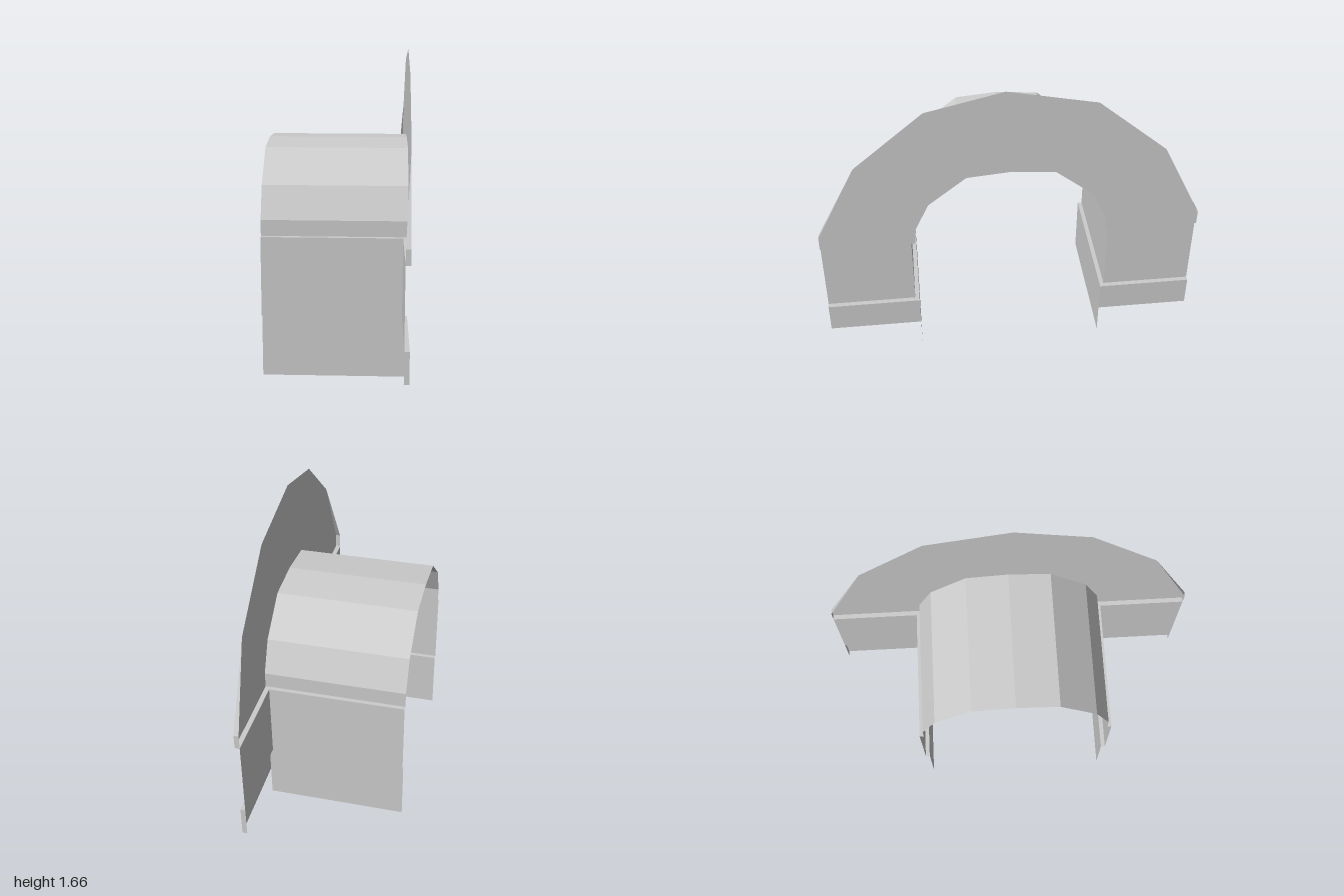
import * as THREE from 'three';

const BACK = -0.373, FACE = 0.373, INSET = 0.347; // x of tunnel end, facade, recessed wall
const FOOT = 0.17, LEDGE = 0.335, SPRING = 0.752;  // y of facade foot, base top, arch start
const IN = 0.503, WALL = 0.526;                   // z of arch opening, recessed tunnel wall

// Arch curves as [z, y]
const inner = [[IN, SPRING], [IN, 0.835], [0.427, 1], [0.228, 1.16], [0, 1.18],
  [-0.228, 1.16], [-0.427, 1], [-IN, 0.835], [-IN, SPRING]];
const outer = [[-1, SPRING], [-1, 0.83], [-0.785, 1.26], [-0.427, 1.564], [0.028, 1.658],
  [0.427, 1.564], [0.785, 1.26], [1, 0.83], [1, SPRING]];

const stone = new THREE.MeshStandardMaterial({ color: 0xcccccc, side: THREE.DoubleSide, flatShading: true });
stone.name = 'pale grey stone';

// Sheet stretched between two rows of [x, y, z] points
function sheet(name, a, b) {
  const pos = [];
  for (let i = 0; i < a.length - 1; i++) {
    pos.push(...a[i], ...a[i + 1], ...b[i + 1], ...a[i], ...b[i + 1], ...b[i]);
  }
  const g = new THREE.BufferGeometry();
  g.setAttribute('position', new THREE.Float32BufferAttribute(pos, 3));
  g.computeVertexNormals();
  return mesh(name, g);
}

function mesh(name, geometry) {
  const m = new THREE.Mesh(geometry, stone);
  m.name = name;
  return m;
}

export function createModel() {
  const model = new THREE.Group();
  model.name = 'archedTunnel';

  // Vault running back from the facade
  model.add(sheet('vault',
    inner.map(([z, y]) => [FACE, y, z]),
    inner.map(([z, y]) => [BACK, y, z])));

  // Flat arch face
  const shape = new THREE.Shape([...inner, ...outer].map(([z, y]) => new THREE.Vector2(-z, y)));
  model.add(mesh('archFace', new THREE.ShapeGeometry(shape).rotateY(Math.PI / 2).translate(FACE, 0, 0)));

  for (const s of [1, -1]) {
    const side = new THREE.Group();
    side.name = s > 0 ? 'frontSide' : 'backSide';

    // Tunnel wall: base, ledge, recessed wall, overhang under the vault
    const wall = [[0, IN], [LEDGE, IN], [LEDGE, WALL], [SPRING, WALL], [SPRING, IN]];
    const ends = [FACE, FACE, INSET, INSET, FACE];
    side.add(sheet('tunnelWall',
      wall.map(([y, z], i) => [ends[i], y, s * z]),
      wall.map(([y, z]) => [BACK, y, s * z])));

    // Facade pier: base, ledge, recessed wall, overhang under the arch
    const pier = [[FACE, FOOT, IN], [FACE, LEDGE, IN], [INSET, LEDGE, WALL], [INSET, SPRING, WALL], [FACE, SPRING, IN]];
    side.add(sheet('pier',
      pier.map(([x, y, z]) => [x, y, s * z]),
      pier.map(([x, y]) => [x, y, s])));

    // Narrow outer edges of the base and of the arch, the latter tapering out
    side.add(sheet('baseEdge',
      [[FACE, FOOT, s], [FACE, LEDGE, s]],
      [[INSET, FOOT, s], [INSET, LEDGE, s]]));
    side.add(sheet('archEdge',
      [[FACE, SPRING, s], [FACE, 0.83, s], [FACE, 1.26, s * 0.785]],
      [[INSET, SPRING, s], [INSET, 0.83, s], [FACE, 1.26, s * 0.785]]));
    model.add(side);
  }
  return model;
}
